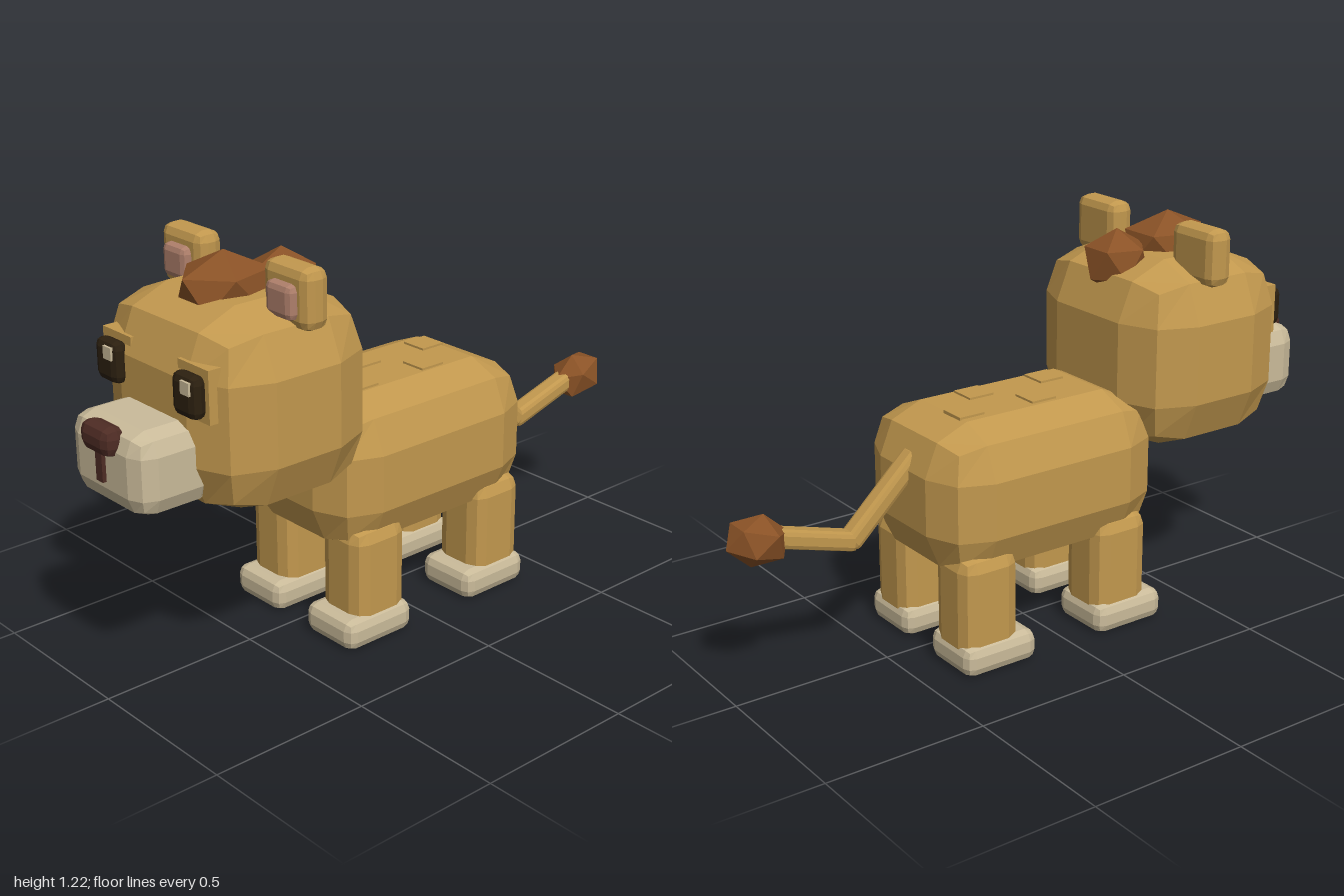
import * as THREE from 'three';
import { RoundedBoxGeometry } from 'three/addons/geometries/RoundedBoxGeometry.js';

const paint = (name, color) => new THREE.MeshStandardMaterial({ name, color, flatShading: true });

export function createModel() {
  const fur = paint('tan fur', 0xc2984e);
  const cream = paint('cream', 0xcabb9a);
  const mane = paint('rust mane', 0x8a5226);
  const dark = paint('eye black', 0x2c2010);
  const noseBrown = paint('nose brown', 0x4e2c24);
  const pink = paint('ear pink', 0xae7f6b);

  const model = new THREE.Group();
  model.name = 'lionCub';

  const add = (name, geometry, material, x, y, z) => {
    const mesh = new THREE.Mesh(geometry, material);
    mesh.name = name;
    mesh.position.set(x, y, z);
    model.add(mesh);
    return mesh;
  };
  // Faceted box with one bevel step per edge
  const soft = (name, material, [w, h, d], r, [x, y, z]) =>
    add(name, new RoundedBoxGeometry(w, h, d, 1, r), material, x, y, z);
  const box = (name, material, [w, h, d], [x, y, z]) =>
    add(name, new THREE.BoxGeometry(w, h, d), material, x, y, z);
  // Low-poly tuft: icosahedron turned so a corner points up, then stretched
  const tuft = (name, [rx, ry, rz], [x, y, z]) => {
    const g = new THREE.IcosahedronGeometry(1, 0);
    g.rotateX(-Math.atan((1 + Math.sqrt(5)) / 2));
    g.scale(rx, ry, rz);
    return add(name, g, mane, x, y, z);
  };

  // Trunk and head
  soft('body', fur, [0.53, 0.465, 0.78], 0.145, [0, 0.503, -0.04]);
  soft('head', fur, [0.64, 0.585, 0.56], 0.17, [0, 0.818, 0.52]);

  // Square patches along the back
  [[-0.055, -0.25], [0.07, -0.13], [-0.065, 0], [0.07, 0.13]].forEach(([x, z]) =>
    box('backPatch', fur, [0.085, 0.03, 0.085], [x, 0.727, z]));

  // Muzzle, nose and mouth
  soft('muzzle', cream, [0.345, 0.24, 0.26], 0.06, [0, 0.7, 0.84]);
  soft('nose', noseBrown, [0.14, 0.085, 0.07], 0.03, [0, 0.783, 0.965]);
  box('mouth', noseBrown, [0.03, 0.09, 0.03], [0, 0.705, 0.967]);

  // Paired parts
  for (const s of [-1, 1]) {
    box('brow', fur, [0.132, 0.152, 0.09], [s * 0.174, 0.915, 0.745]);
    soft('eye', dark, [0.106, 0.124, 0.05], 0.024, [s * 0.177, 0.913, 0.807]);
    // Both glints sit toward the same side
    box('eyeGlint', cream, [0.037, 0.037, 0.009], [s * 0.177 + 0.018, 0.942, 0.831]);

    soft('ear', fur, [0.19, 0.175, 0.085], 0.03, [s * 0.23, 1.133, 0.487]);
    soft('innerEar', pink, [0.11, 0.1, 0.05], 0.02, [s * 0.231, 1.125, 0.53]);

    // Legs and paws, front and back
    [['front', 0.195, 0.215], ['back', -0.287, -0.265]].forEach(([end, legZ, pawZ]) => {
      soft(end + 'Leg', fur, [0.178, 0.36, 0.195], 0.045, [s * 0.165, 0.185, legZ]);
      soft(end + 'Paw', cream, [0.21, 0.095, 0.25], 0.03, [s * 0.166, 0.0475, pawZ]);
    });
  }

  // Mane tufts
  tuft('frontTuft', [0.13, 0.105, 0.155], [0, 1.11, 0.55]);
  tuft('rearTuft', [0.105, 0.1, 0.11], [0, 1.085, 0.35]);

  // Two-piece bent tail with a tufted tip
  const tail = [[0.62, -0.39], [0.41, -0.61], [0.49, -0.88]].map(([y, z]) => new THREE.Vector3(0, y, z));
  for (let i = 0; i < 2; i++) {
    const a = tail[i], b = tail[i + 1];
    const mid = a.clone().lerp(b, 0.5);
    const part = soft('tailSegment', fur, [0.064, 0.058, a.distanceTo(b) + 0.03], 0.016, mid.toArray());
    part.lookAt(b);
  }
  tuft('tailTip', [0.077, 0.078, 0.1], [0, 0.485, -0.905]).rotation.x = 0.3;

  return model;
}
